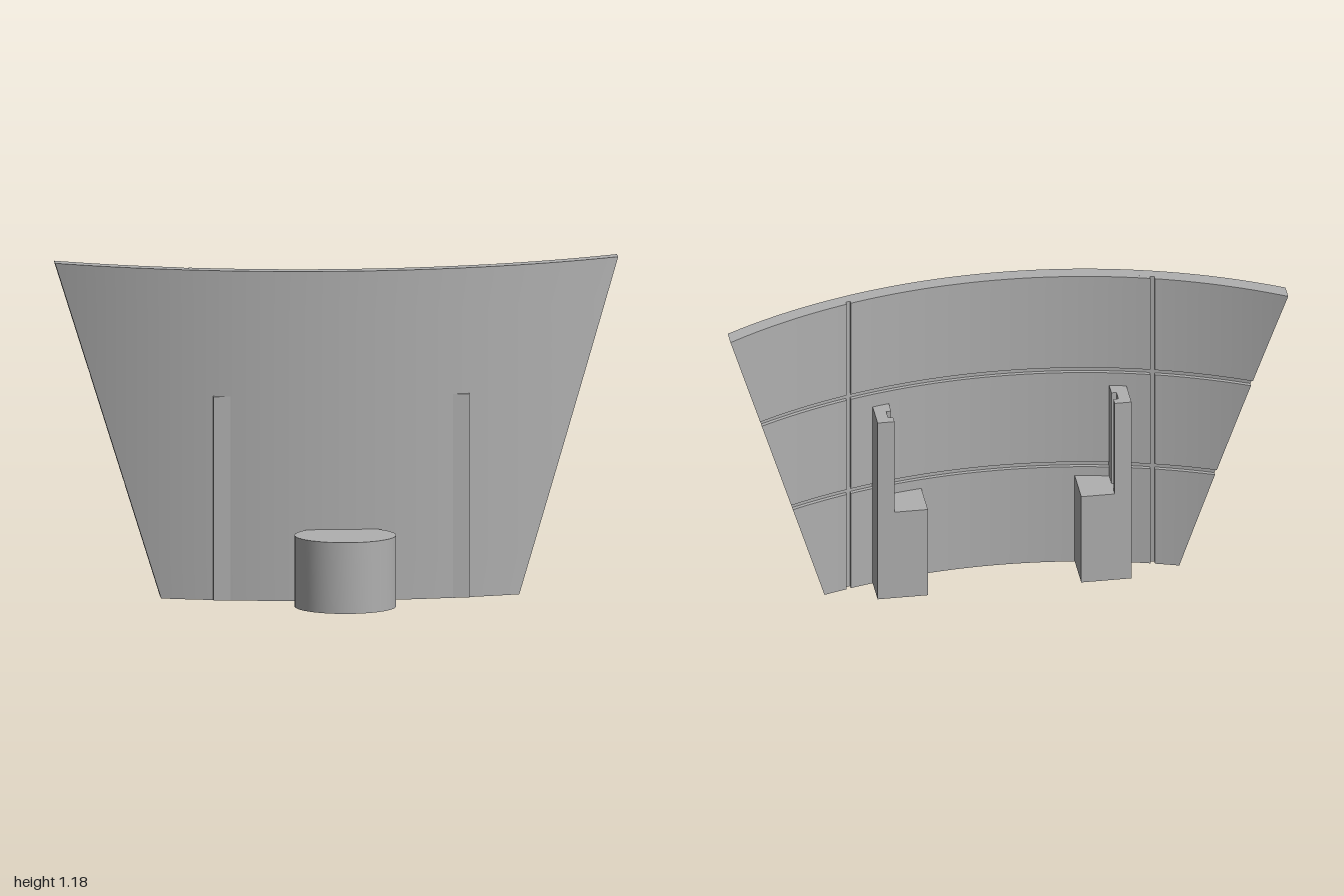
import * as THREE from 'three';
import { toCreasedNormals } from 'three/addons/utils/BufferGeometryUtils.js';

const H = 1.18;               // wall height
const FRONT_Z = 0.01;         // foremost point of the wall
const R_FRONT = 2.02, R_CORE = 1.981, R_BACK = 1.967;
const CENTRE_Z = FRONT_Z - R_FRONT;
const halfWidth = (y) => 0.636 + (1 - 0.636) * y / H;

// Curved slab between two side edges (functions of y), two heights and two radii
function slab(left, right, y0, y1, rFront, rBack) {
  const g = new THREE.BoxGeometry(1, 1, 1, 40, 8, 1);
  const p = g.attributes.position;
  for (let i = 0; i < p.count; i++) {
    const y = THREE.MathUtils.lerp(y0, y1, p.getY(i) + 0.5);
    const x = THREE.MathUtils.lerp(left(y), right(y), p.getX(i) + 0.5);
    const r = p.getZ(i) > 0 ? rFront : rBack;
    p.setXYZ(i, x, y, CENTRE_Z + Math.sqrt(r * r - x * x));
  }
  g.computeVertexNormals();
  return g;
}

// Upright prism from a plan outline of [x, z] points, mirrored by side
function prism(plan, height, side) {
  const shape = new THREE.Shape(plan.map(([x, z]) => new THREE.Vector2(x * side, -z)));
  return new THREE.ExtrudeGeometry(shape, { depth: height, bevelEnabled: false })
    .rotateX(-Math.PI / 2);
}

export function createModel() {
  const model = new THREE.Group();
  model.name = 'curvedWallPanel';
  const grey = new THREE.MeshStandardMaterial({ color: 0xb0b0b0 });
  grey.name = 'plain grey';
  const add = (name, geometry, parent = model) => {
    const mesh = new THREE.Mesh(geometry, grey);
    mesh.name = name;
    parent.add(mesh);
    return mesh;
  };

  // Wall: a smooth core with a back layer of nine panels separated by grooves
  const wall = new THREE.Group();
  wall.name = 'wall';
  model.add(wall);
  add('wallCore', slab((y) => -halfWidth(y), halfWidth, 0, H, R_FRONT, R_CORE), wall);
  const gx = 0.545, gw = 0.008;
  const columns = [
    [(y) => -halfWidth(y), () => -gx - gw],
    [() => -gx + gw, () => gx - gw],
    [() => gx + gw, halfWidth],
  ];
  const rows = [[0, 0.392], [0.412, 0.782], [0.802, H]];
  for (const [l, r] of columns)
    for (const [y0, y1] of rows)
      add('backPanel', slab(l, r, y0, y1, R_CORE, R_BACK), wall);

  // Hollow round socket in front, open underneath
  const profile = [[0, 0.2], [0.115, 0.2], [0.115, 0], [0.18, 0], [0.18, 0.255], [0, 0.255]]
    .map(([x, y]) => new THREE.Vector2(x, y));
  const socket = add('frontSocket',
    toCreasedNormals(new THREE.LatheGeometry(profile, 64), 0.6));
  socket.position.z = 0.139;

  // Pair of brackets: tall grooved post outside, low block inside
  const postPlan = [
    [0.455, -0.028], [0.455, -0.208], [0.395, -0.208], [0.395, -0.178],
    [0.413, -0.178], [0.413, -0.135], [0.395, -0.135], [0.395, -0.028],
  ];
  const blockPlan = [[0.275, -0.04], [0.275, -0.208], [0.414, -0.208], [0.414, -0.04]];
  for (const side of [1, -1]) {
    const bracket = new THREE.Group();
    bracket.name = side > 0 ? 'leftBracket' : 'rightBracket';
    add('groovedPost', prism(postPlan, 0.73, side), bracket);
    add('lowBlock', prism(blockPlan, 0.355, side), bracket);
    model.add(bracket);
  }
  return model;
}
